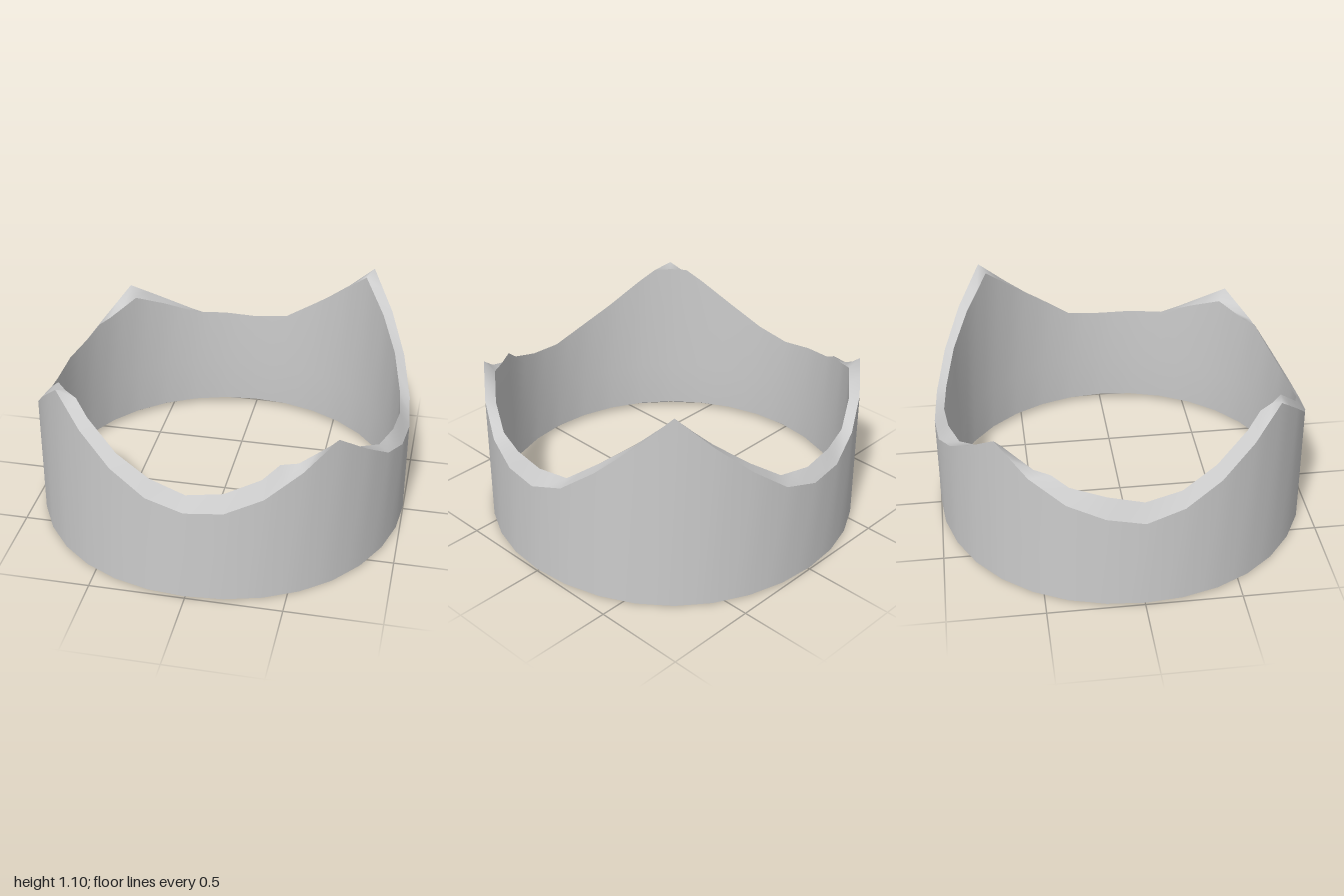
import * as THREE from 'three';

const SEGMENTS = 64;

// Rim heights as [degrees from the front towards +x, height]
const OUTER_RIM = [
  [0, 0.52], [11.25, 0.53], [22.5, 0.6], [33.75, 0.72], [45, 0.85], [56.25, 0.72], [67.5, 0.6], [78.75, 0.54],
  [90, 0.53], [101.25, 0.6], [112.5, 0.75], [123.75, 0.92], [135, 1.1], [146.25, 0.92], [157.5, 0.75], [168.75, 0.6],
  [180, 0.54], [191.25, 0.55], [202.5, 0.63], [213.75, 0.74], [225, 0.86], [236.25, 0.71], [247.5, 0.6], [258.75, 0.54],
  [270, 0.51], [281.25, 0.57], [292.5, 0.68], [303.75, 0.82], [315, 0.96], [326.25, 0.82], [337.5, 0.68], [348.75, 0.57],
  [360, 0.52],
];
const INNER_RIM = [
  [0, 0.59], [11.25, 0.61], [22.5, 0.68], [28, 0.75], [34, 0.74], [45, 0.79], [56, 0.71], [67.5, 0.63],
  [90, 0.61], [101.25, 0.63], [112.5, 0.77], [123.75, 0.91], [135, 1.06], [146.25, 0.91], [157.5, 0.77], [168.75, 0.64],
  [180, 0.61], [202.5, 0.64], [213.75, 0.72], [225, 0.8], [236, 0.73], [242, 0.72], [247.5, 0.67],
  [270, 0.6], [281.25, 0.64], [292.5, 0.74], [303.75, 0.87], [309.5, 0.94], [320.5, 0.94], [326.25, 0.87],
  [337.5, 0.74], [348.75, 0.65], [360, 0.59],
];

function heightAt(keys, deg) {
  const k = Math.max(1, keys.findIndex(([d]) => d >= deg));
  const [d0, h0] = keys[k - 1];
  const [d1, h1] = keys[k];
  return THREE.MathUtils.lerp(h0, h1, (deg - d0) / (d1 - d0));
}

// Closed band joining consecutive edge loops; each loop maps degrees to [radius, height]
function band(name, loops, material) {
  const positions = [], index = [];
  loops.forEach((loop, row) => {
    for (let i = 0; i < SEGMENTS; i++) {
      const deg = (i / SEGMENTS) * 360;
      const a = THREE.MathUtils.degToRad(deg);
      // 32-sided outline: odd points lie on the chords
      const chord = i % 2 ? Math.cos(Math.PI / 32) : 1;
      const [r, y] = loop(deg);
      positions.push(r * chord * Math.sin(a), y, r * chord * Math.cos(a));
      if (row === 0) continue;
      const j = (i + 1) % SEGMENTS;
      const lo = (row - 1) * SEGMENTS, hi = row * SEGMENTS;
      index.push(lo + i, lo + j, hi + j, lo + i, hi + j, hi + i);
    }
  });
  const geometry = new THREE.BufferGeometry();
  geometry.setAttribute('position', new THREE.Float32BufferAttribute(positions, 3));
  geometry.setIndex(index);
  geometry.computeVertexNormals();
  const mesh = new THREE.Mesh(geometry, material);
  mesh.name = name;
  return mesh;
}

export function createModel() {
  const group = new THREE.Group();
  group.name = 'peakedRing';
  const material = new THREE.MeshStandardMaterial({ color: 0xcccccc });

  // Edge loops of the cross-section; the foot dips slightly below each peak
  const dip = (deg) => Math.sin(THREE.MathUtils.degToRad(2 * deg)) ** 2;
  const outerFoot = (deg) => [1, 0.012 * (1 - dip(deg))];
  const outerTop = (deg) => [1, heightAt(OUTER_RIM, deg)];
  const innerTop = (deg) => [0.945, heightAt(INNER_RIM, deg)];
  const innerMiddle = () => [0.94, 0.3];
  const innerFoot = () => [0.955, 0.03];

  group.add(
    band('outerWall', [outerFoot, outerTop], material),
    band('topRim', [outerTop, innerTop], material),
    band('innerWall', [innerTop, innerMiddle, innerFoot], material),
    band('bottomRim', [innerFoot, outerFoot], material),
  );
  return group;
}
